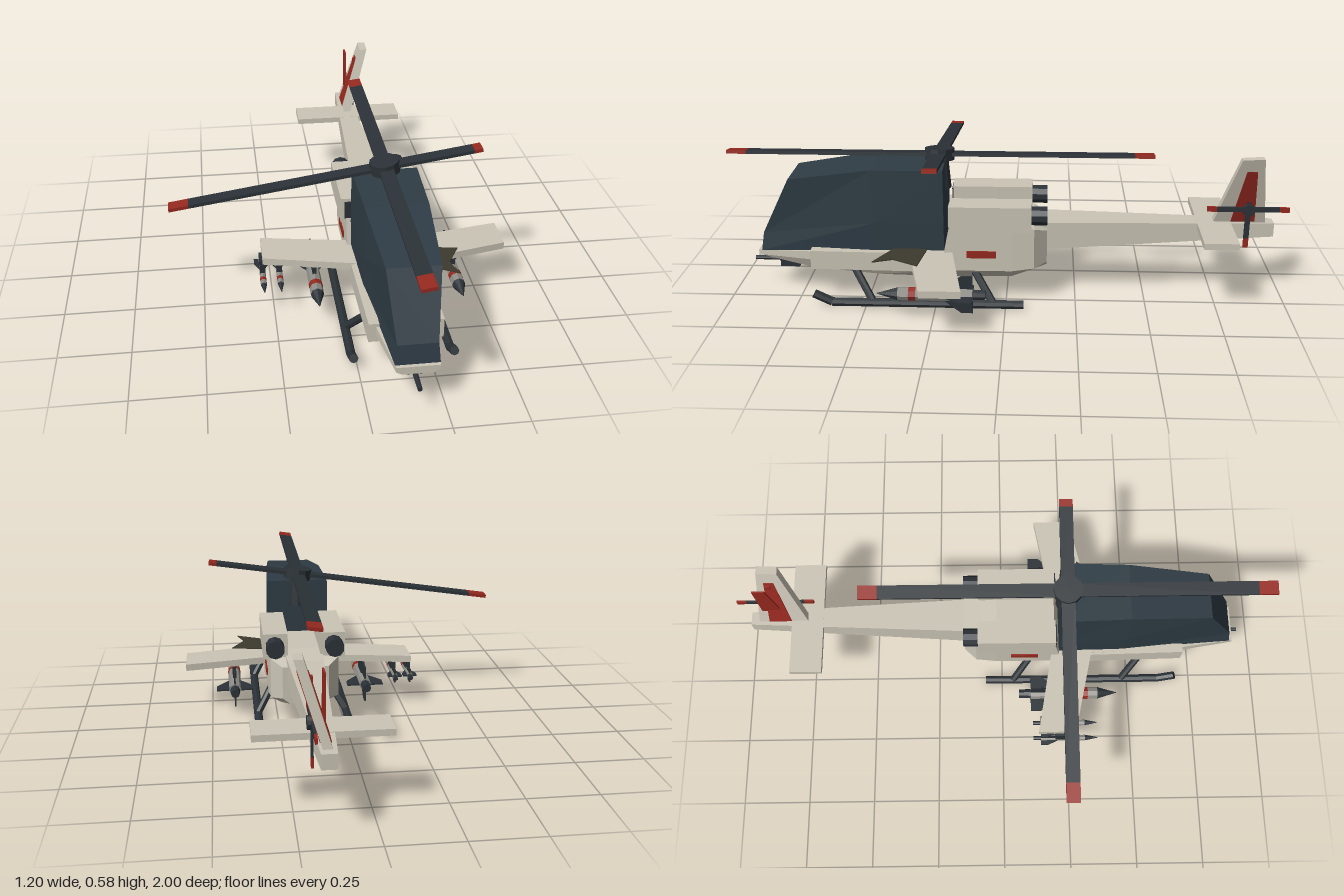
import * as THREE from 'three';

const mat = (color, side = THREE.FrontSide) => new THREE.MeshStandardMaterial({ color, flatShading: true, side });
const PAINT = mat(0xcbc5b6), DARK = mat(0x2b3237), GLASS = mat(0x2f3c45), RED = mat(0x96291f);
const STEEL = mat(0x8d8c86), SOOT = mat(0x3d392e, THREE.DoubleSide);

export function createModel() {
  const model = new THREE.Group();
  model.name = 'helicopter';
  // The fuselage centreline sits off the origin; all parts are measured from it
  const craft = new THREE.Group();
  craft.name = 'craft';
  craft.position.x = 0.155;
  model.add(craft);

  const add = (name, geo, material, parent = craft, x = 0, y = 0, z = 0) => {
    const m = new THREE.Mesh(geo, material);
    m.name = name;
    m.position.set(x, y, z);
    parent.add(m);
    return m;
  };
  const box = (name, w, h, d, material, x, y, z, parent = craft) =>
    add(name, new THREE.BoxGeometry(w, h, d), material, parent, x, y, z);
  // Cylinder or cone lying along z, wide end sizes given front and back
  const tube = (name, rFront, rBack, len, material, x, y, z, parent = craft, sides = 8) =>
    add(name, new THREE.CylinderGeometry(rFront, rBack, len, sides).rotateX(Math.PI / 2), material, parent, x, y, z);
  // Round bar between two points
  const rod = (name, a, b, r, material) => {
    const p = new THREE.Vector3(...a), q = new THREE.Vector3(...b), d = q.clone().sub(p);
    const m = add(name, new THREE.CylinderGeometry(r, r, d.length(), 8), material);
    m.position.copy(p).add(q).multiplyScalar(0.5);
    m.quaternion.setFromUnitVectors(new THREE.Vector3(0, 1, 0), d.normalize());
    return m;
  };
  // Skin over mirrored half sections, listed nose to tail, points bottom to top
  const loft = (sections) => {
    const rings = sections.map(([z, ...pts]) => {
      const half = pts.map(([x, y, pz = z]) => [x, y, pz]);
      return [...half, ...half.slice().reverse().map(([x, y, pz]) => [-x, y, pz])];
    });
    const n = rings[0].length, idx = [];
    for (let i = 0; i < rings.length - 1; i++) for (let j = 0; j < n; j++) {
      const a = i * n + j, b = i * n + (j + 1) % n, c = b + n, d = a + n;
      idx.push(a, d, c, a, c, b);
    }
    const last = (rings.length - 1) * n;
    for (let j = 0; j < n / 2 - 1; j++) {
      const a = j, b = j + 1, c = n - 2 - j, d = n - 1 - j;
      idx.push(a, b, c, a, c, d, last + a, last + c, last + b, last + a, last + d, last + c);
    }
    const geo = new THREE.BufferGeometry();
    geo.setAttribute('position', new THREE.Float32BufferAttribute(rings.flat(2), 3));
    geo.setIndex(idx);
    geo.computeVertexNormals();
    return geo;
  };
  const slab = (pts, depth) => new THREE.ExtrudeGeometry(
    new THREE.Shape(pts.map(([a, b]) => new THREE.Vector2(a, b))), { depth, bevelEnabled: false }).translate(0, 0, -depth / 2);
  const flat = (pts, t) => slab(pts, t).rotateX(Math.PI / 2);            // outline in x, z
  const upright = (pts, t) => slab(pts, t).rotateY(-Math.PI / 2);        // outline in z, y
  const lean = (geo, k, y0) => {
    const p = geo.attributes.position;
    for (let i = 0; i < p.count; i++) p.setX(i, p.getX(i) + k * (p.getY(i) - y0));
    geo.computeVertexNormals();
    return geo;
  };

  // Fuselage, tail boom and canopy
  add('hull', loft([
    [0.9, [0.05, 0.145], [0.07, 0.155], [0.07, 0.172]],
    [0.7, [0.08, 0.11], [0.1, 0.15], [0.1, 0.182]],
    [0.45, [0.085, 0.09], [0.12, 0.155], [0.12, 0.195]],
    [0.22, [0.085, 0.085], [0.13, 0.13], [0.13, 0.2]],
    [0.2, [0.085, 0.085], [0.13, 0.13], [0.13, 0.3]],
    [-0.02, [0.085, 0.09], [0.13, 0.13], [0.13, 0.3]],
    [-0.1, [0.07, 0.115], [0.125, 0.14], [0.125, 0.29]],
    [-0.145, [0.06, 0.13], [0.085, 0.15], [0.085, 0.27]],
  ]), PAINT);
  add('tailBoom', loft([
    [-0.08, [0.07, 0.187], [0.07, 0.298]],
    [-0.145, [0.065, 0.19], [0.065, 0.292]],
    [-0.955, [0.025, 0.235], [0.025, 0.285]],
  ]), PAINT);
  add('canopy', loft([
    [0.88, [0.072, 0.172, 0.888], [0.066, 0.24, 0.877], [0.088, 0.452, 0.77]],
    [0.47, [0.108, 0.19], [0.112, 0.3], [0.108, 0.497]],
    [0.22, [0.115, 0.198], [0.117, 0.3], [0.116, 0.5]],
  ]), GLASS);

  // Nose gun
  box('gunTurret', 0.065, 0.04, 0.07, DARK, 0, 0.11, 0.8);
  tube('gunBarrel', 0.008, 0.01, 0.13, DARK, 0, 0.11, 0.87);

  const missile = (name, x, y, z, s, span) => {
    const g = new THREE.Group();
    g.name = name;
    g.position.set(x, y, z);
    craft.add(g);
    tube('missileBody', s, s, 0.26, STEEL, 0, 0, 0, g);
    tube('missileBand', s * 1.04, s * 1.04, 0.025, RED, 0, 0, 0.08, g);
    tube('missileNose', 0.001, s, 0.075, DARK, 0, 0, 0.167, g);
    tube('missileNozzle', s * 0.8, s * 0.7, 0.05, DARK, 0, 0, -0.15, g);
    for (let i = 0; i < 4; i++) {
      const fin = add('missileFin', upright([[-0.13, 0], [0, 0], [-0.09, span], [-0.13, span]], 0.006), DARK, g);
      fin.rotation.z = i * Math.PI / 2;
    }
    return g;
  };

  for (const s of [1, -1]) {
    // Side fairing, red marking and engine pod
    add('sideFairing', flat([[s * 0.09, 0.7], [s * 0.125, 0.7], [s * 0.135, 0.2], [s * 0.09, 0.2]], 0.07), PAINT, craft, 0, 0.16);
    box('redStripe', 0.008, 0.026, 0.105, RED, s * 0.131, 0.194, 0.087);
    box('enginePod', 0.09, 0.095, 0.29, PAINT, s * 0.105, 0.332, 0.055);
    box('engineIntake', 0.065, 0.065, 0.01, DARK, s * 0.105, 0.335, 0.2);
    tube('exhaust', 0.034, 0.034, 0.08, DARK, s * 0.108, 0.336, -0.105, craft, 10);

    // Stub wing with its main missile
    add('stubWing', flat([[s * 0.1, 0.35], [s * 0.44, 0.275], [s * 0.44, 0.135], [s * 0.1, 0.195]], 0.026), PAINT, craft, 0, 0.187);
    box('missilePylon', 0.014, 0.07, 0.09, DARK, s * 0.255, 0.145, 0.23);
    missile('mainMissile', s * 0.255, 0.097, 0.24, 0.024, 0.07);

    // Landing skid with an upturned toe
    rod('skid', [s * 0.17, 0.018, -0.065], [s * 0.17, 0.018, 0.62], 0.016, DARK);
    rod('skidToe', [s * 0.17, 0.018, 0.62], [s * 0.17, 0.05, 0.685], 0.016, DARK);
    rod('frontStrut', [s * 0.1, 0.13, 0.55], [s * 0.17, 0.025, 0.475], 0.014, DARK);
    rod('rearStrut', [s * 0.1, 0.13, 0.12], [s * 0.17, 0.025, 0.045], 0.014, DARK);
  }

  // Small missiles under one wing tip
  for (const x of [-0.38, -0.44]) {
    box('smallPylon', 0.02, 0.05, 0.06, DARK, x, 0.153, 0.23);
    missile('smallMissile', x, 0.113, 0.23, 0.011, 0.027).scale.z = 0.65;
  }
  // Loose torn panel over the other wing
  add('tornPanel', flat([[0.12, 0.28], [0.26, 0.3], [0.21, 0.39], [0.235, 0.46], [0.12, 0.4]], 0.004), SOOT, craft, 0, 0.206);

  // Tailplane and leaning fin with red panels
  box('tailplane', 0.44, 0.022, 0.12, PAINT, 0, 0.277, -0.74);
  add('tailFin', lean(upright([[-0.735, 0.275], [-0.925, 0.275], [-0.887, 0.55], [-0.812, 0.545]], 0.03), 0.3, 0.28), PAINT);
  add('finPanel', lean(upright([[-0.8, 0.29], [-0.885, 0.29], [-0.868, 0.5], [-0.832, 0.5]], 0.036), 0.3, 0.28), RED);
  add('rearPanel', upright([[-0.82, 0.29], [-0.9, 0.29], [-0.905, 0.515], [-0.86, 0.515]], 0.006), RED, craft, 0.008);

  // Tail rotor
  const tail = new THREE.Group();
  tail.name = 'tailRotor';
  tail.position.set(0.042, 0.345, -0.855);
  craft.add(tail);
  add('tailHub', new THREE.CylinderGeometry(0.022, 0.022, 0.03, 10).rotateZ(Math.PI / 2), DARK, tail);
  for (let i = 0; i < 4; i++) {
    const arm = new THREE.Group();
    arm.name = 'tailBlade';
    arm.rotation.x = i * Math.PI / 2;
    tail.add(arm);
    box('tailBladeSpan', 0.008, 0.018, 0.11, DARK, 0, 0, 0.055, arm);
    box('tailBladeTip', 0.008, 0.018, 0.035, RED, 0, 0, 0.1275, arm);
  }

  // Mast and tilted main rotor with one short blade
  add('mast', new THREE.CylinderGeometry(0.03, 0.04, 0.12, 10), DARK, craft, 0, 0.46, 0.24);
  const rotor = new THREE.Group();
  rotor.name = 'mainRotor';
  rotor.position.set(-0.003, 0.525, 0.24);
  rotor.rotation.z = 0.15;
  craft.add(rotor);
  add('rotorHub', new THREE.CylinderGeometry(0.053, 0.053, 0.042, 12), DARK, rotor);
  [[0.76, 0.07], [0.345, 0.03], [0.76, 0.07], [0.76, 0.07]].forEach(([len, tip], i) => {
    const arm = new THREE.Group();
    arm.name = 'mainBlade';
    arm.rotation.y = i * Math.PI / 2;
    rotor.add(arm);
    box('bladeSpan', 0.05, 0.012, len - tip, DARK, 0, 0, (len - tip) / 2, arm);
    box('bladeTip', 0.05, 0.012, tip, RED, 0, 0, len - tip / 2, arm);
  });
  return model;
}
